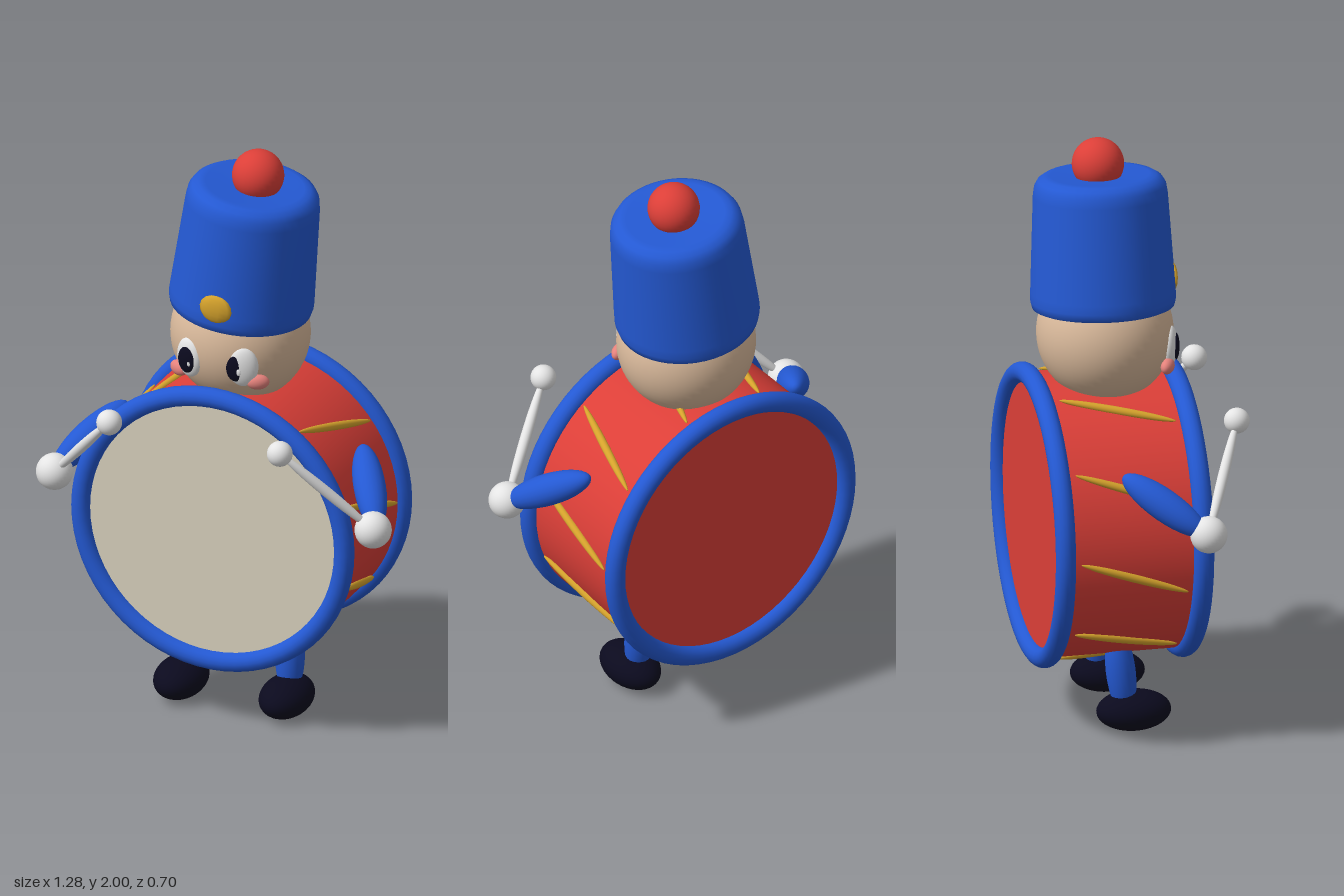
import * as THREE from 'three';

const mat = (name, color) => {
  const m = new THREE.MeshStandardMaterial({ color });
  m.name = name;
  return m;
};

export function createModel() {
  const blue = mat('blue', 0x2459d3), red = mat('red', 0xdc3f38), skin = mat('skin', 0xd9b99b);
  const cream = mat('drum skin', 0xdad3bf), white = mat('white', 0xe4e4e4), black = mat('black', 0x0b0a1e);
  const gold = mat('gold', 0xd6a32c), pink = mat('pink', 0xe5827c);

  const model = new THREE.Group();
  model.name = 'drummerToy';

  const add = (name, geometry, material, pos = [0, 0, 0], parent = model) => {
    const mesh = new THREE.Mesh(geometry, material);
    mesh.name = name;
    mesh.position.set(...pos);
    parent.add(mesh);
    return mesh;
  };
  const ball = (name, material, pos, radii, parent = model, w = 32, h = 20) => {
    const mesh = add(name, new THREE.SphereGeometry(1, w, h), material, pos, parent);
    mesh.scale.set(...radii);
    return mesh;
  };
  // Ellipsoid stretched between two points
  const spindle = (name, material, a, b, radius) => {
    const from = new THREE.Vector3(...a), to = new THREE.Vector3(...b);
    const axis = to.clone().sub(from);
    const centre = from.add(to).multiplyScalar(0.5);
    const mesh = ball(name, material, centre.toArray(), [radius, axis.length() / 2, radius], model, 20, 16);
    mesh.quaternion.setFromUnitVectors(new THREE.Vector3(0, 1, 0), axis.normalize());
    return mesh;
  };

  // Drum: shell, front skin and two rims
  const cy = 0.712, R = 0.476, zFront = 0.154, zBack = -0.316;
  const shell = new THREE.CylinderGeometry(R, R, zFront - zBack, 64).rotateX(Math.PI / 2);
  add('drumShell', shell, red, [0, cy, (zFront + zBack) / 2]);
  add('drumSkin', new THREE.CircleGeometry(0.47, 64), cream, [0, cy, zFront + 0.004]);
  for (const z of [zFront, zBack]) {
    add('drumRim', new THREE.TorusGeometry(R, 0.034, 16, 64), blue, [0, cy, z]);
  }

  // Slanted gold laces around the shell
  for (let i = 0; i < 10; i++) {
    const a = THREE.MathUtils.degToRad(9 + i * 36);
    const end = (t, z) => [
      Math.cos(a) * 0.478 - Math.sin(a) * t, cy + Math.sin(a) * 0.478 + Math.cos(a) * t, z];
    spindle('drumLace', gold, end(0.067, 0.105), end(-0.067, -0.265), 0.014);
  }

  // Head
  ball('head', skin, [0, 1.34, -0.072], [0.234, 0.234, 0.228], model, 48, 32);

  // Face, limbs and drumsticks on both sides
  for (const s of [-1, 1]) {
    const eye = ball('eye', white, [s * 0.097, 1.308, 0.126], [0.051, 0.07, 0.026]);
    eye.rotation.y = s * 0.35;
    const px = s * 0.09 - 0.01;
    ball('pupil', black, [px, 1.305, 0.146], [0.033, 0.046, 0.012]).rotation.y = s * 0.25;
    ball('eyeGlint', white, [px + 0.014, 1.298, 0.157], [0.008, 0.012, 0.004], model, 12, 8);
    ball('cheek', pink, [s * 0.143, 1.253, 0.108], [0.038, 0.026, 0.022]).rotation.y = s * 0.5;

    const hand = [s * 0.577, 0.811, 0.146], tip = [s * 0.309, 1.104, 0.304];
    spindle('arm', blue, [s * 0.425, 0.985, -0.11], [s * 0.585, 0.815, 0.135], 0.054);
    ball('hand', white, hand, [0.062, 0.062, 0.062]);
    spindle('drumstick', white, hand, tip, 0.018);
    ball('drumstickTip', white, tip, [0.043, 0.043, 0.043]);

    spindle('leg', blue, [s * 0.188, 0.05, -0.045], [s * 0.18, 0.36, -0.078], 0.05);
    ball('foot', black, [s * 0.191, 0.068, -0.019], [0.086, 0.068, 0.126]);
  }

  // Tilted hat with badge and pompom
  const hat = new THREE.Group();
  hat.name = 'hat';
  hat.position.set(-0.003, 1.427, -0.078);
  hat.rotation.z = -0.115;
  model.add(hat);
  const profile = [
    [0, 0.002], [0.222, 0], [0.236, 0.006], [0.242, 0.03], [0.241, 0.06], [0.224, 0.385],
    [0.219, 0.418], [0.207, 0.438], [0.188, 0.45], [0.165, 0.453], [0.13, 0.447], [0, 0.443],
  ].map(p => new THREE.Vector2(...p));
  add('hatBody', new THREE.LatheGeometry(profile, 48), blue, [0, 0, 0], hat);
  ball('hatBadge', gold, [0.004, 0.088, 0.235], [0.058, 0.05, 0.018], hat, 10, 8);
  ball('pompom', red, [0.006, 0.489, -0.004], [0.087, 0.087, 0.087], hat);

  return model;
}
